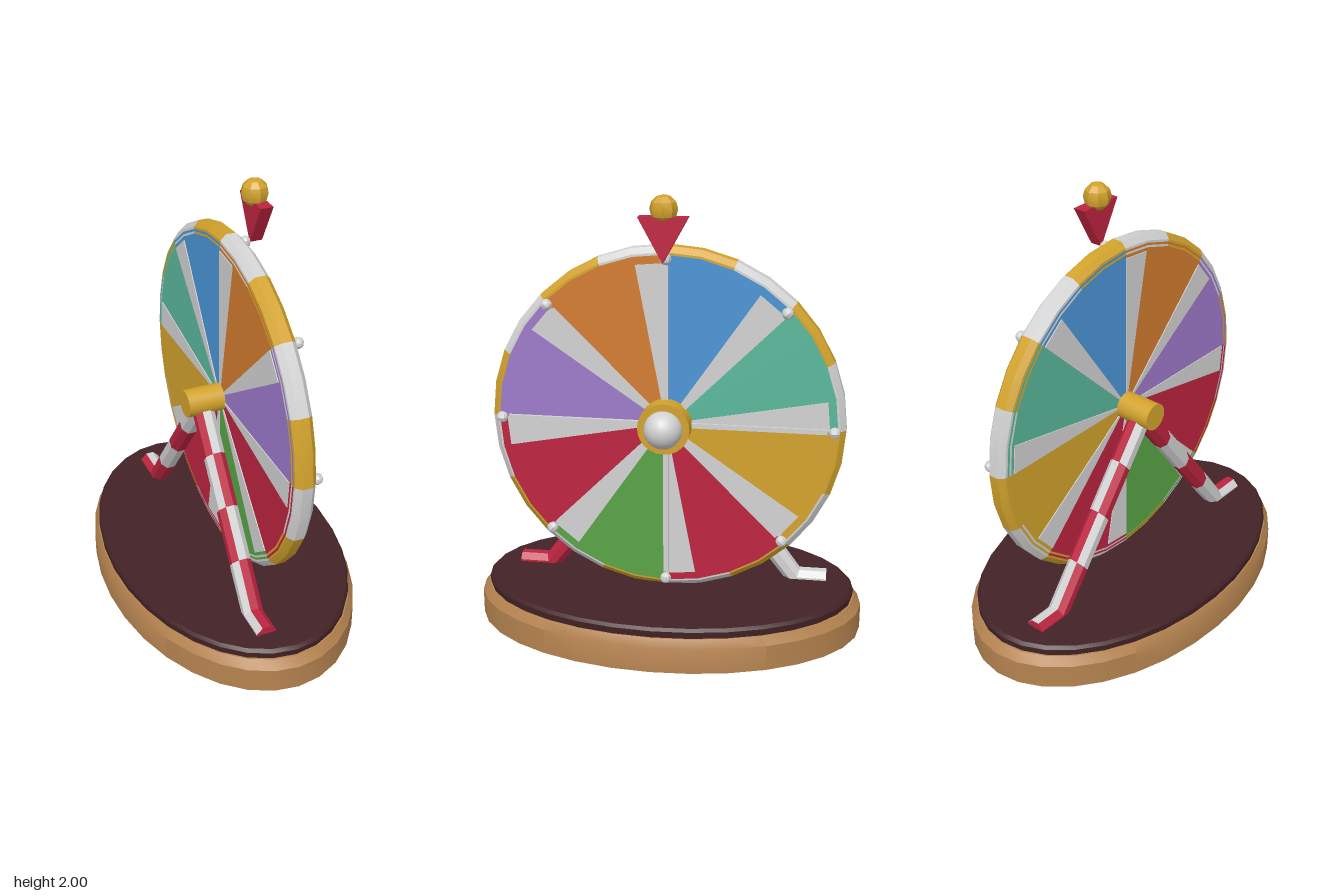
import * as THREE from 'three';
import { toCreasedNormals } from 'three/addons/utils/BufferGeometryUtils.js';

const COLORS = {
  wood: 0xb5834f, darkTop: 0x432226, gold: 0xd2a22c, white: 0xd2d2d2, red: 0xbd2340,
  blue: 0x4a95d6, teal: 0x5ab89c, green: 0x58a445, purple: 0x9d7acb, orange: 0xd27c2f,
};

export function createModel() {
  const mats = {};
  for (const [name, color] of Object.entries(COLORS)) {
    mats[name] = new THREE.MeshStandardMaterial({ color });
    mats[name].name = name;
  }
  const model = new THREE.Group();
  model.name = 'prizeWheel';

  const add = (parent, name, geo, mat, x = 0, y = 0, z = 0) => {
    const mesh = new THREE.Mesh(toCreasedNormals(geo, 0.5), mats[mat]);
    mesh.name = name;
    mesh.position.set(x, y, z);
    parent.add(mesh);
    return mesh;
  };
  const lathe = (pts, seg, start = 0, len = Math.PI * 2) =>
    new THREE.LatheGeometry(pts.map(([r, y]) => new THREE.Vector2(r, y)), seg, start, len);

  // Oval base with bevelled wooden body and dark top
  const oval = (pts) => lathe(pts, 32).scale(0.56, 1, 0.887);
  add(model, 'baseBody', oval([[0, 0], [1, 0], [1, 0.115], [0.965, 0.155], [0, 0.155]]), 'wood');
  add(model, 'baseTop', oval([[0, 0.15], [0.955, 0.15], [0.96, 0.185], [0.945, 0.2], [0, 0.2]]), 'darkTop');

  // Wheel: built facing local +z, then turned to face +x
  const wheel = new THREE.Group();
  wheel.name = 'wheel';
  wheel.position.y = 0.98;
  wheel.rotation.y = Math.PI / 2;
  model.add(wheel);
  const deg = Math.PI / 180;

  // Pie slice between two angles, measured clockwise from the top
  const slice = (a0, a1, r, steps, depth) => {
    const shape = new THREE.Shape();
    shape.moveTo(0, 0);
    for (let i = steps; i >= 0; i--) {
      const a = (a0 + (a1 - a0) * i / steps) * deg;
      shape.lineTo(r * Math.sin(a), r * Math.cos(a));
    }
    return new THREE.ExtrudeGeometry(shape, { depth, bevelEnabled: false });
  };

  const sliceColors = ['blue', 'teal', 'gold', 'red', 'green', 'red', 'purple', 'orange'];
  sliceColors.forEach((color, i) => {
    const a = i * 45;
    add(wheel, 'slice', slice(a, a + 45, 0.755, 4, 0.1), color, 0, 0, 0.004);
    add(wheel, 'whiteWedge', slice(a + 34.3, a + 45, 0.72, 1, 0.108), 'white');

    // Divider rod and peg on each slice border
    const spoke = new THREE.Group();
    spoke.name = 'spoke';
    spoke.rotation.z = -a * deg;
    wheel.add(spoke);
    add(spoke, 'dividerRod', new THREE.BoxGeometry(0.022, 0.62, 0.016), 'white', 0, 0.4, 0.11);
    add(spoke, 'peg', new THREE.SphereGeometry(0.026, 8, 6), 'white', 0, 0.74, 0.118);
  });

  // Rim in sixteen alternating gold and white pieces
  const rimProfile = [[0.735, -0.102], [0.765, -0.1], [0.79, -0.076], [0.79, -0.03], [0.765, -0.006], [0.735, -0.003]];
  for (let i = 0; i < 16; i++) {
    const geo = lathe(rimProfile, 2, i * 22.5 * deg, 22.5 * deg).rotateX(-Math.PI / 2);
    add(wheel, 'rimPiece', geo, i % 2 ? 'white' : 'gold');
  }

  // Hub, cap and rear axle
  const disc = (r, len) => new THREE.CylinderGeometry(r, r, len, 24).rotateX(Math.PI / 2);
  add(wheel, 'hub', disc(0.116, 0.085), 'gold', 0, 0, 0.143);
  add(wheel, 'hubCap', new THREE.SphereGeometry(0.085, 20, 14), 'white', 0, 0, 0.19);
  add(wheel, 'axle', disc(0.063, 0.175), 'gold', 0, 0, -0.078);

  // Pointer above the wheel
  const tri = new THREE.Shape();
  tri.moveTo(0, 0.735);
  tri.lineTo(0.106, 0.928);
  tri.lineTo(-0.106, 0.928);
  add(wheel, 'pointer', new THREE.ExtrudeGeometry(tri, { depth: 0.058, bevelEnabled: false }), 'red', 0, 0, 0.14);
  add(wheel, 'pointerBall', new THREE.SphereGeometry(0.061, 8, 6), 'gold', 0, 0.959, 0.16);

  // Striped leg: octagonal tube whose two halves swap colour row by row
  const legGeometry = (side, wanted) => {
    const path = [];
    for (let i = 0; i <= 4; i++) path.push([0.96 - 0.77 * i / 4, 0.585 * i / 4]);
    path.push([0.19, 0.725]);
    const ring = path.map(([y, z], i) => {
      // Direction across the tube; mitred at the bend, flat at the foot
      const t = i < 4 ? 0.65 : i === 4 ? 0.32 : 0;
      const grow = i === 4 ? 1.05 : 1;
      return Array.from({ length: 8 }, (_, j) => {
        const a = (j + 0.5) * Math.PI / 4;
        const u = Math.cos(a) * 0.049 * grow;
        return [-0.085 + Math.sin(a) * 0.049, y + u * Math.cos(t), side * (z + u * Math.sin(t))];
      });
    });
    const pos = [];
    const triangle = (a, b, c) => pos.push(...(side > 0 ? [...a, ...b, ...c] : [...a, ...c, ...b]));
    for (let i = 0; i < 5; i++) {
      for (let j = 0; j < 8; j++) {
        // Faces 7 (top) and 0-2 belong to the +x half
        const half = j === 7 || j < 3 ? 0 : 1;
        const row = Math.min(i, 3);
        const isRed = (row + half + (side < 0 ? 1 : 0)) % 2 === 1;
        if (isRed !== wanted) continue;
        const k = (j + 1) % 8;
        const [a, b, c, d] = [ring[i][j], ring[i][k], ring[i + 1][k], ring[i + 1][j]];
        triangle(a, d, c);
        triangle(a, c, b);
      }
    }
    // End caps
    if (wanted) {
      for (let j = 1; j < 7; j++) {
        triangle(ring[5][0], ring[5][j + 1], ring[5][j]);
        triangle(ring[0][0], ring[0][j], ring[0][j + 1]);
      }
    }
    const geo = new THREE.BufferGeometry();
    geo.setAttribute('position', new THREE.Float32BufferAttribute(pos, 3));
    return geo;
  };
  mats.red.side = mats.white.side = THREE.DoubleSide;
  for (const side of [1, -1]) {
    const leg = new THREE.Group();
    leg.name = side > 0 ? 'frontLeg' : 'backLeg';
    model.add(leg);
    add(leg, 'redStripes', legGeometry(side, true), 'red');
    add(leg, 'whiteStripes', legGeometry(side, false), 'white');
  }

  return model;
}
